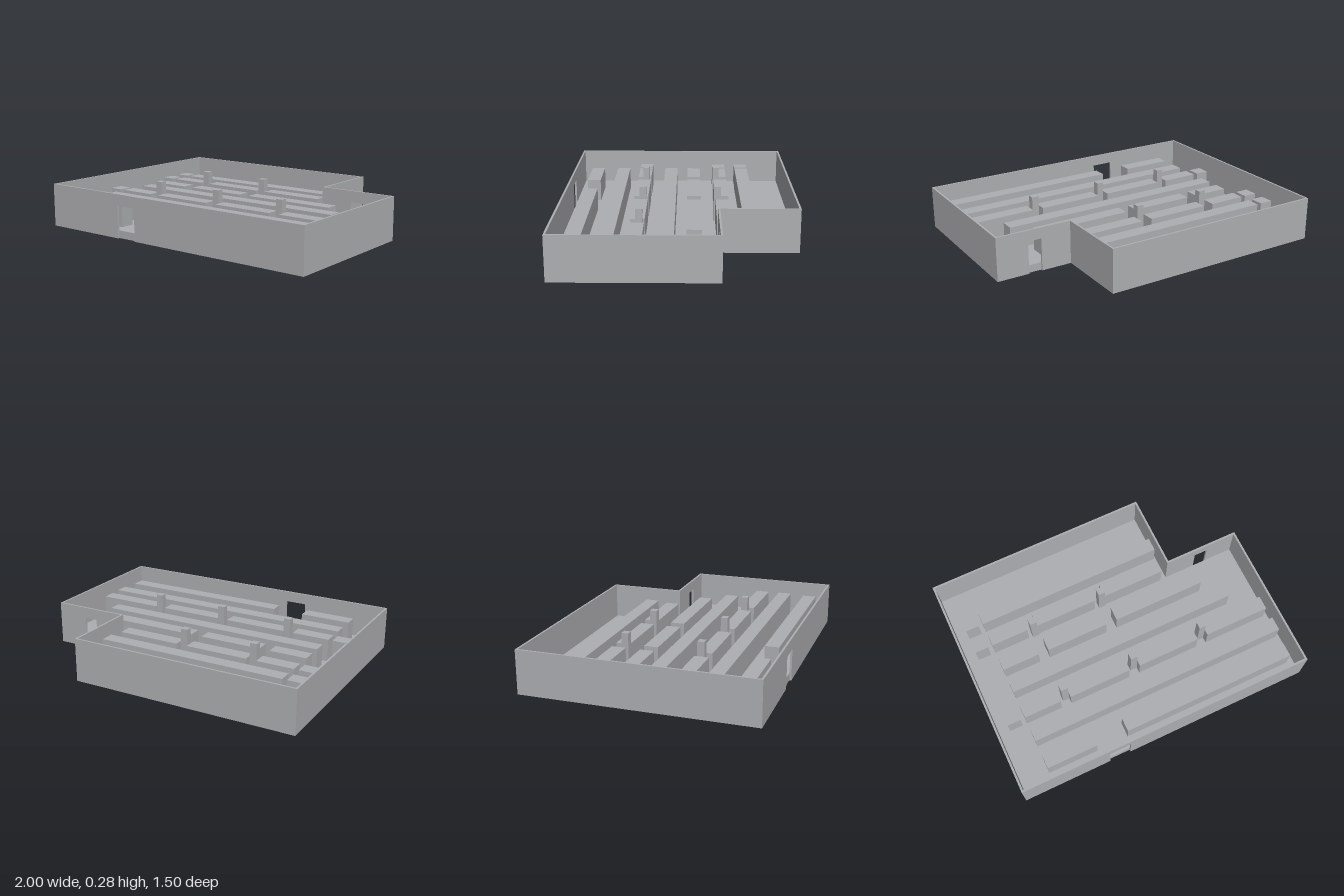
import * as THREE from 'three';

const H = 0.285, T = 0.013, FLOOR = 0.05, DOOR = 0.213, SHELF = 0.2;

export function createModel() {
  const model = new THREE.Group();
  const grey = new THREE.MeshStandardMaterial({ color: 0xaeafb2 });
  grey.name = 'grey';

  function add(name, geometry) {
    const mesh = new THREE.Mesh(geometry, grey);
    mesh.name = name;
    model.add(mesh);
    return mesh;
  }

  function block(name, x0, x1, y0, y1, z0, z1) {
    add(name, new THREE.BoxGeometry(x1 - x0, y1 - y0, z1 - z0))
      .position.set((x0 + x1) / 2, (y0 + y1) / 2, (z0 + z1) / 2);
  }

  // Wall along x with a doorway cut down to the ground
  function doorWall(name, x0, x1, z0, d0, d1) {
    const outline = [[x0, 0], [d0, 0], [d0, DOOR], [d1, DOOR], [d1, 0], [x1, 0], [x1, H], [x0, H]];
    const shape = new THREE.Shape(outline.map(([x, y]) => new THREE.Vector2(x, y)));
    add(name, new THREE.ExtrudeGeometry(shape, { depth: T, bevelEnabled: false })).position.z = z0;
  }

  // Outer walls of the L-shaped hall
  doorWall('frontWall', -1, 1, 0.75 - T, -0.405, -0.26);
  doorWall('notchDoorWall', 0.5 - T, 1, -0.255, 0.7, 0.79);
  block('backWall', -1, 0.5, 0, H, -0.75, -0.75 + T);
  block('rightWall', -1, -1 + T, 0, H, -0.75 + T, 0.75 - T);
  block('leftWall', 1 - T, 1, 0, H, -0.255 + T, 0.75 - T);
  block('notchSideWall', 0.5 - T, 0.5, 0, H, -0.75 + T, -0.255);

  // Raised floor slab between the walls
  const plan = [[-1 + T, -0.75 + T], [0.5 - T, -0.75 + T], [0.5 - T, -0.255 + T],
    [1 - T, -0.255 + T], [1 - T, 0.75 - T], [-1 + T, 0.75 - T]];
  const floorShape = new THREE.Shape(plan.map(([x, z]) => new THREE.Vector2(x, -z)));
  const floor = new THREE.ExtrudeGeometry(floorShape, { depth: FLOOR, bevelEnabled: false });
  add('floor', floor.rotateX(-Math.PI / 2));

  // Shelf rows: z start, then x ranges
  const rows = [
    [-0.495, [-0.915, -0.825], [-0.795, 0.475]],
    [-0.33, [-0.915, -0.825], [-0.795, -0.545], [-0.475, -0.055], [0.02, 0.445]],
    [-0.143, [-0.795, -0.545], [-0.475, -0.055], [0.02, 0.65]],
    [0.023, [-0.795, 0.775]],
    [0.21, [-0.915, -0.825], [-0.795, -0.545], [-0.475, -0.055], [0.02, 0.445], [0.517, 0.957]],
    [0.378, [-0.795, 0.963]],
    [0.57, [-0.795, -0.453], [-0.238, 0.94]],
  ];
  for (const [z, ...ranges] of rows) {
    for (const [x0, x1] of ranges) block('shelf', x0, x1, FLOOR, SHELF, z, z + 0.092);
  }

  // Pillars standing in the shelf gaps
  const pillars = [[-0.52, -0.275], [-0.027, -0.275], [-0.52, 0.22], [-0.027, 0.22], [0.47, 0.22]];
  for (const [x, z] of pillars) block('pillar', x, x + 0.046, FLOOR, H, z, z + 0.045);

  return model;
}
